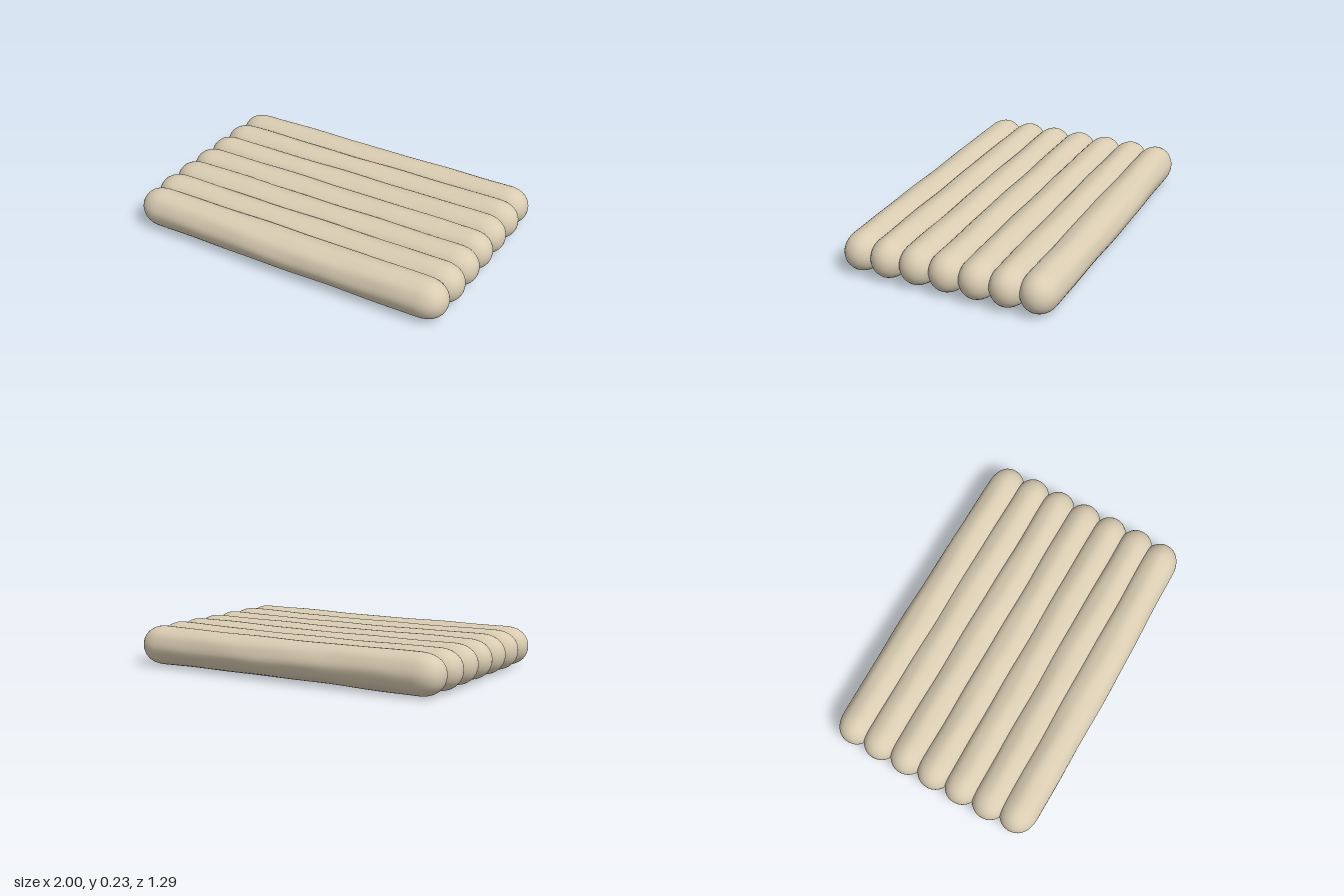
import * as THREE from 'three';
import { mergeVertices } from 'three/addons/utils/BufferGeometryUtils.js';

const CAP = 0.14;      // length of each rounded log end
const RADIUS = 0.112;

// Rounded-end log along x, with soft hand-carved ridges and bumps
function logGeometry(half, seed) {
  const profile = [];
  const capSteps = 10, bodySteps = 48;
  const capRadius = (t) => RADIUS * Math.pow(Math.max(0, 1 - Math.pow(t, 2.2)), 1 / 2.2);
  const body = half - CAP;
  for (let i = 0; i < capSteps; i++) {
    const t = Math.cos((i / capSteps) * Math.PI / 2);
    profile.push(new THREE.Vector2(i === 0 ? 0 : capRadius(t), -body - CAP * t));
  }
  for (let i = 0; i <= bodySteps; i++) {
    profile.push(new THREE.Vector2(RADIUS, -body + (2 * body * i) / bodySteps));
  }
  for (let i = capSteps - 1; i >= 0; i--) {
    const t = Math.cos((i / capSteps) * Math.PI / 2);
    profile.push(new THREE.Vector2(i === 0 ? 0 : capRadius(t), body + CAP * t));
  }
  let geo = new THREE.LatheGeometry(profile, 40);
  geo.rotateZ(-Math.PI / 2);
  geo.deleteAttribute('uv');
  geo.deleteAttribute('normal');
  geo = mergeVertices(geo, 1e-5);

  const p = geo.attributes.position;
  for (let i = 0; i < p.count; i++) {
    const x = p.getX(i), y = p.getY(i), z = p.getZ(i);
    const a = Math.atan2(z, y);
    const middle = Math.pow(Math.cos((x * Math.PI) / 2), 2);
    const fade = 1 - Math.pow(Math.abs(x) / half, 6);
    const ridges = 0.012 * Math.cos(8 * a + 0.9 * Math.sin(3 * x + seed));
    const bumps = 0.012 * Math.sin(7 * x + 2 * a + seed) + 0.008 * Math.sin(13 * x - 3 * a + 2 * seed);
    const k = 1 + fade * (ridges + bumps);
    // slightly flatter and wider toward the middle
    p.setY(i, y * k * (1.025 - 0.06 * middle));
    p.setZ(i, z * k * (0.97 + 0.08 * middle));
  }
  geo.computeVertexNormals();
  return geo;
}

export function createModel() {
  const model = new THREE.Group();
  model.name = 'logRaft';
  const wood = new THREE.MeshStandardMaterial({ color: 0xd9ccb2 });
  wood.name = 'paleWood';

  // Seven logs laid side by side, the outer two a little shorter
  const count = 7;
  for (let i = 0; i < count; i++) {
    const offset = i - (count - 1) / 2;
    const outer = Math.abs(offset) === 3;
    const log = new THREE.Mesh(logGeometry(outer ? 0.99 : 1, i * 1.7), wood);
    log.name = `log${i + 1}`;
    log.position.set(0, 0.12, outer ? Math.sign(offset) * 0.527 : offset * 0.178);
    model.add(log);
  }
  return model;
}
